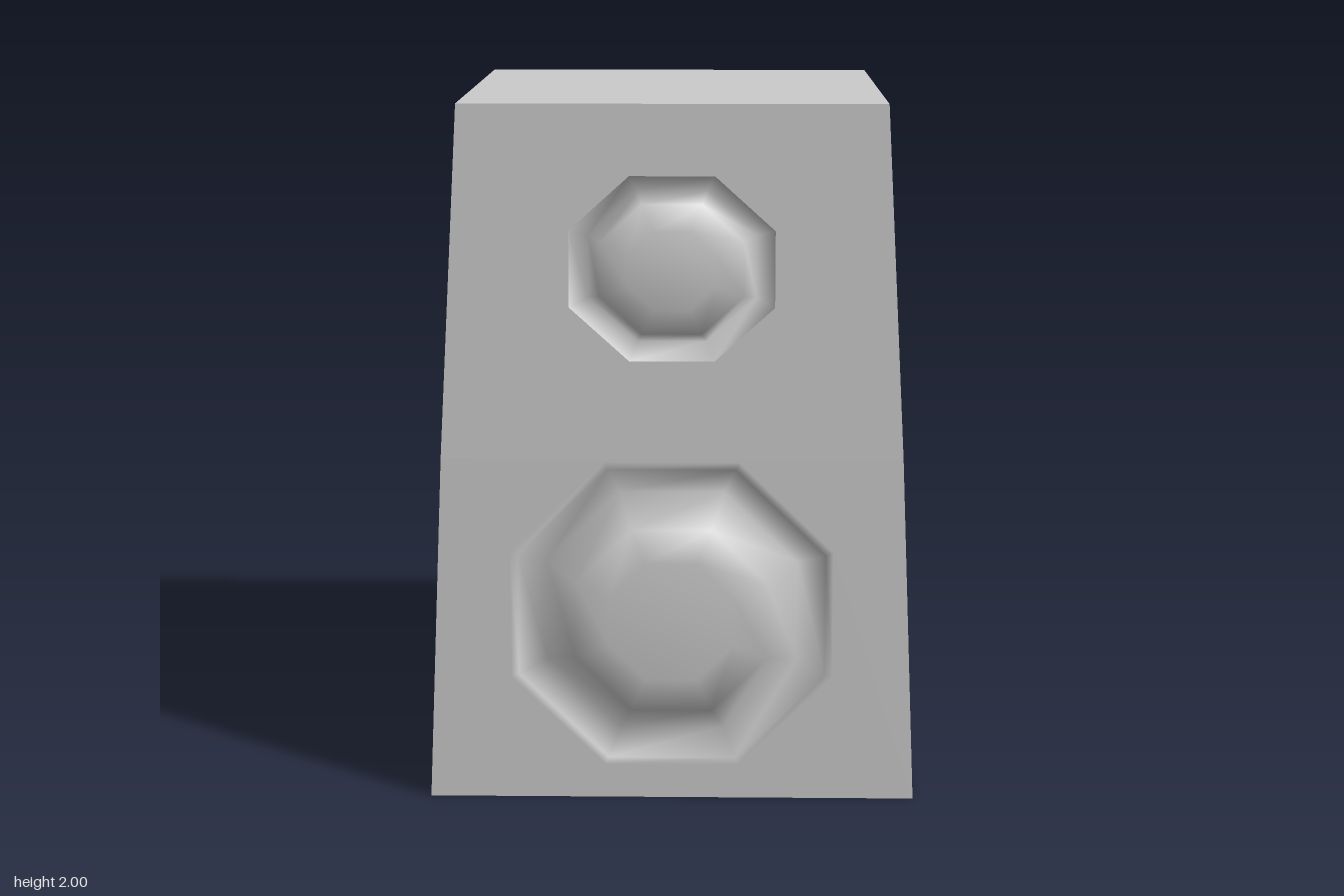
import * as THREE from 'three';

const material = new THREE.MeshStandardMaterial({ color: 0xcccccc });

// Cabinet levels: [height, half width], tapering with a slight bend halfway
const levels = [[0, 0.7], [1, 0.657], [2, 0.602]];

// Depth of the sloping front face at height y
function frontZ(y) {
  const [a, b] = y <= 1 ? [levels[0], levels[1]] : [levels[1], levels[2]];
  return THREE.MathUtils.lerp(a[1], b[1], y - a[0]);
}

function addMesh(group, geometry, name) {
  const mesh = new THREE.Mesh(geometry, material);
  mesh.name = name;
  group.add(mesh);
}

// Flat-topped octagon; rx and ry are the half width and half height
function octagon(cy, rx, ry) {
  const k = 1 / Math.cos(Math.PI / 8);
  return Array.from({ length: 8 }, (_, i) => {
    const a = (i + 0.5) * Math.PI / 4;
    return new THREE.Vector2(Math.cos(a) * rx * k, cy + Math.sin(a) * ry * k);
  });
}

// Flat polygon from corners given counter-clockwise from outside
function quad(corners) {
  const g = new THREE.BufferGeometry();
  g.setAttribute('position', new THREE.Float32BufferAttribute(corners.flat(), 3));
  g.setIndex([0, 1, 2, 0, 2, 3]);
  g.computeVertexNormals();
  return g;
}

// Half of the front face with an octagonal opening
function frontPanel([y0, w0], [y1, w1], hole) {
  const shape = new THREE.Shape([[-w0, y0], [w0, y0], [w1, y1], [-w1, y1]]
    .map(p => new THREE.Vector2(...p)));
  shape.holes.push(new THREE.Path(hole.slice().reverse()));
  const g = new THREE.ShapeGeometry(shape);
  const p = g.attributes.position;
  for (let i = 0; i < p.count; i++) p.setZ(i, frontZ(p.getY(i)));
  g.computeVertexNormals();
  return g;
}

// Speaker cone: octagonal rings following [scale, offset from the face]
function driver(cy, rx, ry, profile) {
  const pos = [], index = [];
  const mid = frontZ(cy), slope = (frontZ(cy + 0.1) - mid) / 0.1;
  for (const [s, d] of profile) {
    for (const v of octagon(cy, rx * s, ry * s)) {
      pos.push(v.x, v.y, mid + slope * (v.y - cy) + d);
    }
  }
  const last = profile.length - 1;
  for (let r = 0; r < last; r++) {
    for (let i = 0; i < 8; i++) {
      const a = r * 8 + i, b = r * 8 + (i + 1) % 8;
      index.push(a, b, b + 8, a, b + 8, a + 8);
    }
  }
  // Cap of the dome
  const center = pos.length / 3;
  pos.push(0, cy, mid + profile[last][1] + 0.008);
  for (let i = 0; i < 8; i++) index.push(last * 8 + i, last * 8 + (i + 1) % 8, center);
  const g = new THREE.BufferGeometry();
  g.setAttribute('position', new THREE.Float32BufferAttribute(pos, 3));
  g.setIndex(index);
  g.computeVertexNormals();
  return g;
}

export function createModel() {
  const speaker = new THREE.Group();
  speaker.name = 'speaker';

  // Side and back walls
  const cabinet = new THREE.Group();
  cabinet.name = 'cabinet';
  for (let i = 0; i < 2; i++) {
    const [y0, w0] = levels[i], [y1, w1] = levels[i + 1];
    ['leftWall', 'backWall', 'rightWall'].forEach((name, k) => {
      const g = quad([[-w0, y0, w0], [w0, y0, w0], [w1, y1, w1], [-w1, y1, w1]]);
      addMesh(cabinet, g.rotateY((k + 1) * Math.PI / 2), name + (i ? 'Upper' : 'Lower'));
    });
  }

  // Top and bottom
  const b = levels[0][1], t = levels[2][1];
  addMesh(cabinet, quad([[-t, 2, t], [t, 2, t], [t, 2, -t], [-t, 2, -t]]), 'top');
  addMesh(cabinet, quad([[-b, 0, -b], [b, 0, -b], [b, 0, b], [-b, 0, b]]), 'bottom');

  // Front face around the two openings
  const rim = 1.05;
  addMesh(cabinet, frontPanel(levels[0], levels[1], octagon(0.545, 0.44 * rim, 0.425 * rim)), 'lowerFront');
  addMesh(cabinet, frontPanel(levels[1], levels[2], octagon(1.54, 0.29, 0.26)), 'upperFront');
  speaker.add(cabinet);

  // Recessed grooves with domed centres
  addMesh(speaker, driver(0.545, 0.44, 0.425,
    [[rim, 0], [1, 0], [0.82, -0.05], [0.62, 0.055], [0.4, 0.068]]), 'woofer');
  addMesh(speaker, driver(1.54, 0.29, 0.26,
    [[1, 0], [0.82, -0.06], [0.7, 0.005], [0.42, 0.025]]), 'tweeter');

  speaker.rotation.y = THREE.MathUtils.degToRad(17.4);
  const model = new THREE.Group();
  model.add(speaker);
  return model;
}
